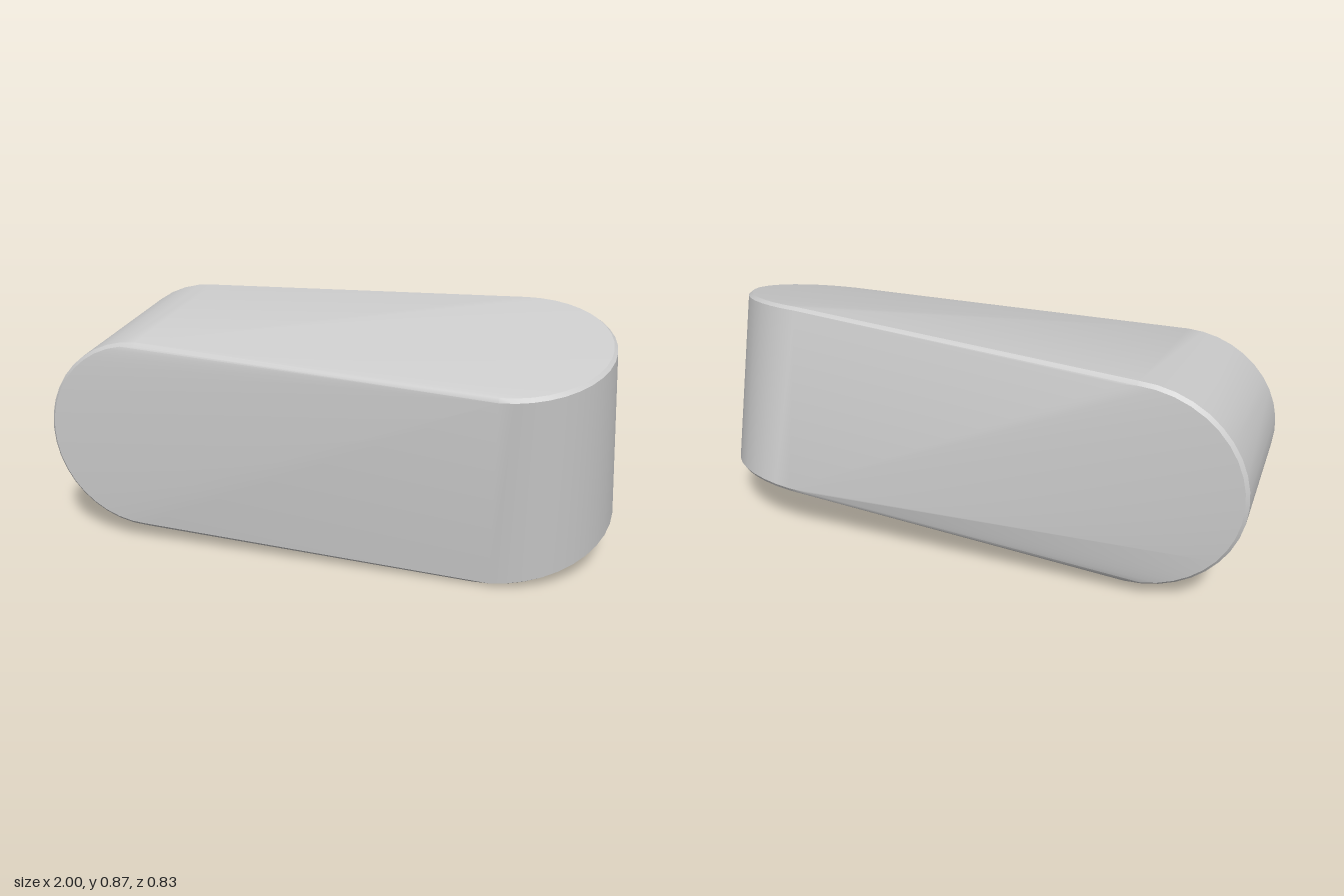
import * as THREE from 'three';
import { ConvexGeometry } from 'three/addons/geometries/ConvexGeometry.js';
import { toCreasedNormals } from 'three/addons/utils/BufferGeometryUtils.js';

const SEGMENTS = 40;
const BEVEL = 0.012;

// Points of an ellipse spanned by two half-axes, plus a slightly inset ring
// pushed outwards, so that the rim gets a narrow bevel.
function rim(center, u, v, outward) {
  const points = [];
  for (const inset of [0, BEVEL]) {
    const offset = outward.clone().multiplyScalar(inset - BEVEL);
    for (let i = 0; i < SEGMENTS; i++) {
      const a = (i / SEGMENTS) * Math.PI * 2;
      points.push(center.clone().add(offset)
        .addScaledVector(u, Math.cos(a) * (1 - inset / u.length()))
        .addScaledVector(v, Math.sin(a) * (1 - inset / v.length())));
    }
  }
  return points;
}

const vec = (x, y, z) => new THREE.Vector3(x, y, z);

export function createModel() {
  const group = new THREE.Group();
  group.name = 'twistedBlock';

  const points = [
    // horizontal tapered drum at the right end: front and back rims
    ...rim(vec(-0.65, 0.415, 0.345), vec(0.35, 0, 0), vec(0, 0.35, 0), vec(0, 0, 1)),
    ...rim(vec(-0.615, 0.45, -0.305), vec(0.385, 0, 0), vec(0, 0.385, 0), vec(0, 0, -1)),
    // upright, leaning tapered drum at the left end: top and bottom rims
    ...rim(vec(0.63, 0.793, 0.084), vec(0.34, 0.005, 0), vec(0, -0.09, 0.333), vec(0, 0.965, 0.26)),
    ...rim(vec(0.62, 0.117, -0.042), vec(0.38, 0.033, 0), vec(0, -0.11, 0.378), vec(0.08, -0.957, -0.278)),
  ];

  // The body is the taut skin stretched around both drums
  const geometry = toCreasedNormals(new ConvexGeometry(points), 0.45);
  const body = new THREE.Mesh(geometry, new THREE.MeshStandardMaterial({ color: 0xcccccc }));
  body.name = 'body';
  geometry.computeBoundingBox();
  body.position.y = -geometry.boundingBox.min.y;
  group.add(body);
  return group;
}
